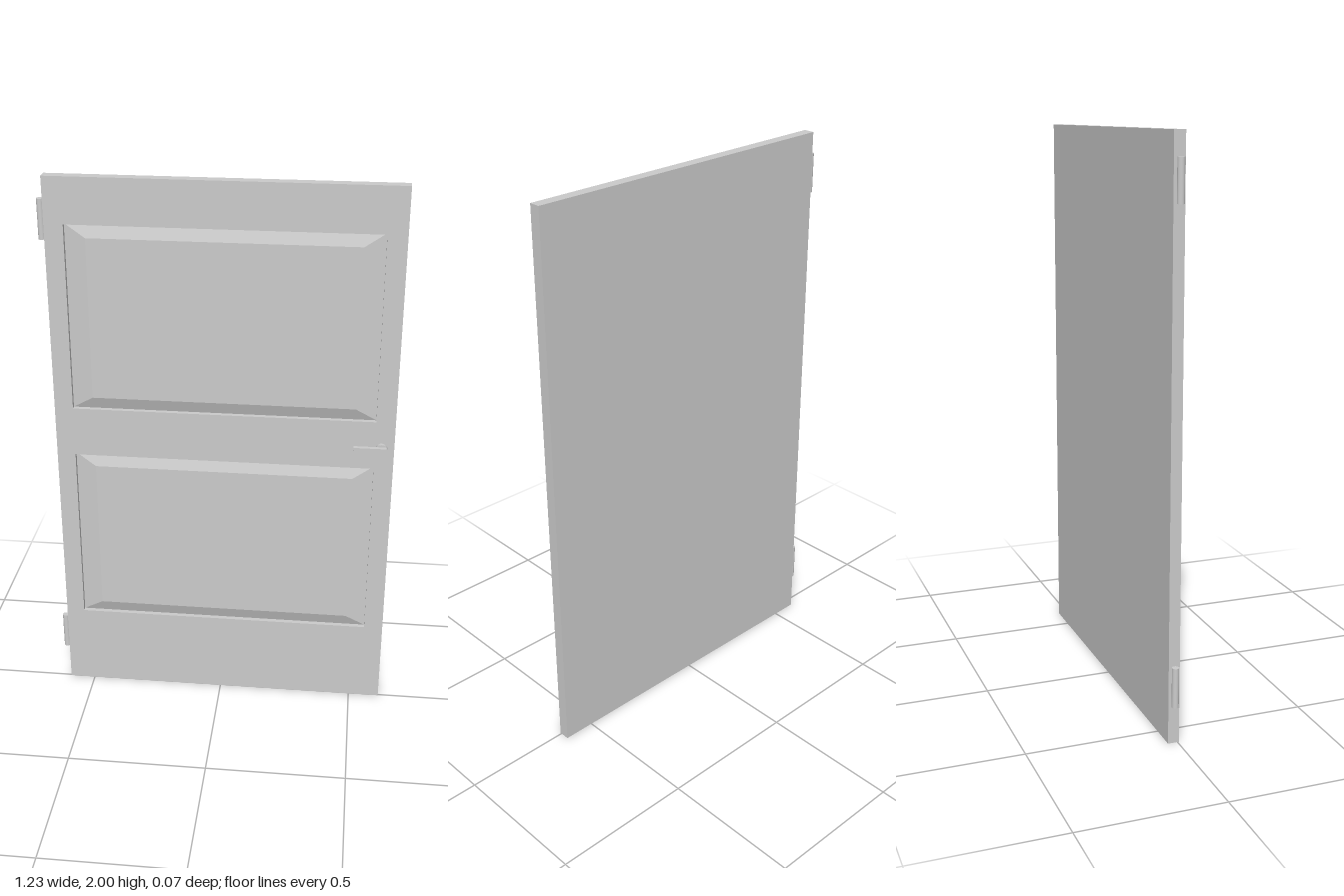
import * as THREE from 'three';

const LEFT = -0.594, RIGHT = 0.614, HEIGHT = 2;
const BACK = -0.034, FRONT = 0.005, RECESS = 0.017;
const PANEL = { x0: -0.528, x1: 0.546, height: 0.672, bottoms: [0.312, 1.166] };

const material = new THREE.MeshStandardMaterial({ color: 0xcccccc });

function addMesh(parent, name, geometry, x, y, z) {
  const mesh = new THREE.Mesh(geometry, material);
  mesh.name = name;
  mesh.position.set(x, y, z);
  parent.add(mesh);
  return mesh;
}

function tracePath(path, x0, y0, x1, y1) {
  path.moveTo(x0, y0);
  path.lineTo(x1, y0);
  path.lineTo(x1, y1);
  path.lineTo(x0, y1);
  path.closePath();
  return path;
}

// Box whose front face is drawn in to form a bevelled raised field
function raisedField(width, height, depth, insetX, insetY) {
  const geometry = new THREE.BoxGeometry(width, height, depth);
  const pos = geometry.attributes.position;
  for (let i = 0; i < pos.count; i++) {
    if (pos.getZ(i) > 0) {
      pos.setX(i, pos.getX(i) - Math.sign(pos.getX(i)) * insetX);
      pos.setY(i, pos.getY(i) - Math.sign(pos.getY(i)) * insetY);
    }
  }
  geometry.computeVertexNormals();
  return geometry;
}

export function createModel() {
  const door = new THREE.Group();
  door.name = 'door';
  const centreX = (LEFT + RIGHT) / 2;

  // Solid back of the door leaf
  const backDepth = FRONT - RECESS - BACK;
  addMesh(door, 'backBoard', new THREE.BoxGeometry(RIGHT - LEFT, HEIGHT, backDepth),
    centreX, HEIGHT / 2, BACK + backDepth / 2);

  // Front frame with two panel openings
  const outline = tracePath(new THREE.Shape(), LEFT, 0, RIGHT, HEIGHT);
  for (const y of PANEL.bottoms) {
    outline.holes.push(tracePath(new THREE.Path(), PANEL.x0, y, PANEL.x1, y + PANEL.height));
  }
  addMesh(door, 'frontFrame',
    new THREE.ExtrudeGeometry(outline, { depth: RECESS, bevelEnabled: false }),
    0, 0, FRONT - RECESS);

  // Raised panels
  const fieldDepth = RECESS - 0.001;
  const field = raisedField(PANEL.x1 - PANEL.x0, PANEL.height, fieldDepth, 0.073, 0.045);
  PANEL.bottoms.forEach((y, i) => {
    addMesh(door, i ? 'upperPanel' : 'lowerPanel', field,
      (PANEL.x0 + PANEL.x1) / 2, y + PANEL.height / 2, FRONT - RECESS + fieldDepth / 2);
  });

  // Hinge barrels
  const barrel = new THREE.CylinderGeometry(0.012, 0.012, 0.14, 24);
  addMesh(door, 'lowerHinge', barrel, -0.606, 0.205, -0.015);
  addMesh(door, 'upperHinge', barrel, -0.606, 1.85, -0.015);

  // Handle: round rose and flat lever
  const handle = new THREE.Group();
  handle.name = 'handle';
  handle.position.set(0.569, 1.064, FRONT);
  const rose = new THREE.CylinderGeometry(0.021, 0.021, 0.014, 24).rotateX(Math.PI / 2);
  addMesh(handle, 'rose', rose, 0, 0, 0.006);
  addMesh(handle, 'lever', new THREE.BoxGeometry(0.115, 0.025, 0.015), -0.0405, 0, 0.0205);
  door.add(handle);

  return door;
}
